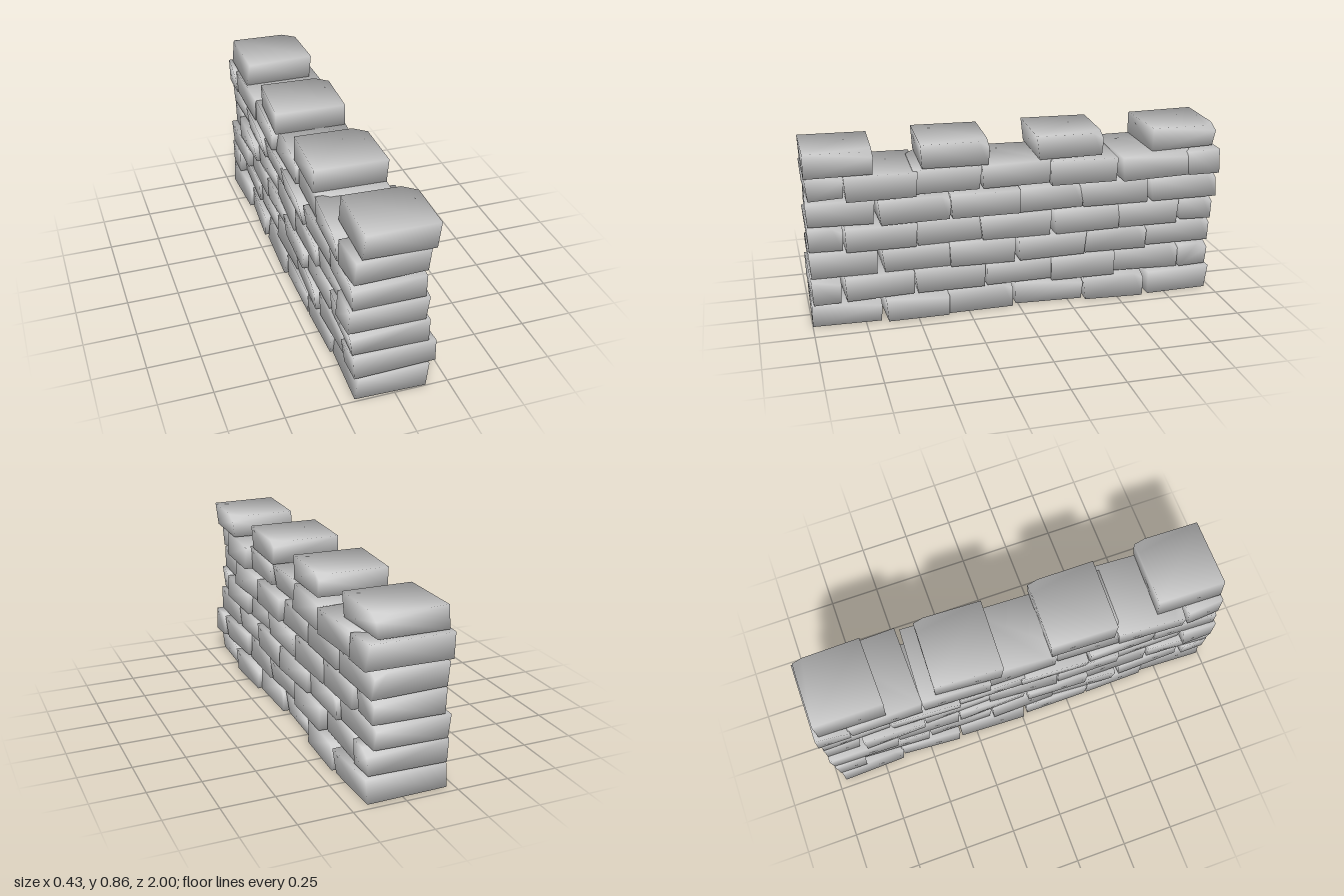
import * as THREE from 'three';
import { mergeVertices } from 'three/addons/utils/BufferGeometryUtils.js';
import { ConvexGeometry } from 'three/addons/geometries/ConvexGeometry.js';

// Each course: bottom, top, then bricks as [front z, back z, optional right x, left x]
const courses = [
  { y: [0.005, 0.122], bricks: [[1, 0.67, -0.17, 0.155], [0.66, 0.355], [0.35, 0.03], [0.012, -0.325], [-0.335, -0.64], [-0.65, -0.97]] },
  { y: [0.13, 0.248], bricks: [[1, 0.868, -0.195, 0.185], [0.842, 0.52], [0.5, 0.17], [0.165, -0.158], [-0.163, -0.48], [-0.49, -0.825], [-0.83, -0.972]] },
  { y: [0.253, 0.369], bricks: [[0.995, 0.68, -0.195, 0.155], [0.658, 0.34], [0.335, 0.025], [0.008, -0.325], [-0.33, -0.64], [-0.65, -0.985]] },
  { y: [0.372, 0.488], bricks: [[0.995, 0.835, -0.215, 0.145], [0.828, 0.5], [0.495, 0.183], [0.18, -0.158], [-0.17, -0.5], [-0.5, -0.802], [-0.823, -0.99]] },
  { y: [0.496, 0.61], bricks: [[0.995, 0.682, -0.2, 0.135], [0.673, 0.34], [0.33, -0.003], [0.003, -0.315], [-0.313, -0.65], [-0.662, -0.995]] },
  { y: [0.62, 0.736], bricks: [[0.995, 0.823, -0.2, 0.13], [0.812, 0.485, -0.2, 0.17], [0.495, 0.18], [0.17, -0.158, -0.18, 0.147], [-0.158, -0.48], [-0.5, -0.845, -0.2, 0.195], [-0.84, -1, -0.2, 0.195]] },
  { y: [0.742, 0.855], bricks: [[1, 0.683, -0.155, 0.172], [0.46, 0.14, -0.187, 0.155], [-0.1, -0.418, -0.19, 0.15], [-0.662, -0.983, -0.185, 0.148]] },
];

let seed = 7;
// Seeded value between -a and a
function jitter(a) {
  seed = (seed * 16807) % 2147483647;
  return (seed / 2147483647 * 2 - 1) * a;
}

// Uneven block with one chipped top corner and shading rolled softly round all corners
function brickGeometry(x0, x1, y0, y1, z0, z1) {
  const skew = jitter(0.007), lean = jitter(0.006), turn = jitter(1) > 0 ? 1 : -1;
  const points = [];
  for (const sx of [-1, 1]) for (const sy of [-1, 1]) for (const sz of [-1, 1]) {
    const corner = new THREE.Vector3(
      (sx > 0 ? x1 : x0) + sz * skew + sy * lean + jitter(0.006),
      Math.max(0, (sy > 0 ? y1 : y0) + jitter(0.004)),
      THREE.MathUtils.clamp((sz > 0 ? z0 : z1) - sx * skew + sy * sz * 0.004 + jitter(0.005), -1, 1),
    );
    if (sy > 0 && sx === -turn && sz === turn) {
      points.push(
        corner.clone().add(new THREE.Vector3(-sx * 0.06, 0, 0)),
        corner.clone().add(new THREE.Vector3(0, -0.028, 0)),
        corner.clone().add(new THREE.Vector3(0, 0, -sz * 0.05)),
      );
    } else points.push(corner);
  }
  let geo = new ConvexGeometry(points);
  geo.deleteAttribute('normal');
  geo = mergeVertices(geo);

  // Normals point out through the corners, equally weighted between the three sides
  const centre = new THREE.Vector3((x0 + x1) / 2, (y0 + y1) / 2, (z0 + z1) / 2);
  const { position } = geo.attributes;
  const normals = new THREE.BufferAttribute(new Float32Array(position.count * 3), 3);
  const v = new THREE.Vector3();
  for (let i = 0; i < position.count; i++) {
    v.fromBufferAttribute(position, i).sub(centre);
    v.set(Math.sign(v.x), Math.sign(v.y), Math.sign(v.z)).normalize();
    normals.setXYZ(i, v.x, v.y, v.z);
  }
  geo.setAttribute('normal', normals);
  return geo;
}

export function createModel() {
  const wall = new THREE.Group();
  wall.name = 'brickWall';
  const material = new THREE.MeshStandardMaterial({ color: 0xcccccc });

  courses.forEach(({ y, bricks }, row) => {
    const course = new THREE.Group();
    const isTop = row === courses.length - 1;
    course.name = isTop ? 'battlements' : `course${row + 1}`;
    bricks.forEach(([z0, z1, right, left], i) => {
      const x0 = right ?? -0.19 + jitter(0.015);
      const x1 = left ?? 0.165 + jitter(0.018);
      const brick = new THREE.Mesh(brickGeometry(x0, x1, y[0], y[1], z0, z1), material);
      brick.name = `${isTop ? 'merlon' : 'brick'}${i + 1}`;
      course.add(brick);
    });
    wall.add(course);
  });
  return wall;
}
